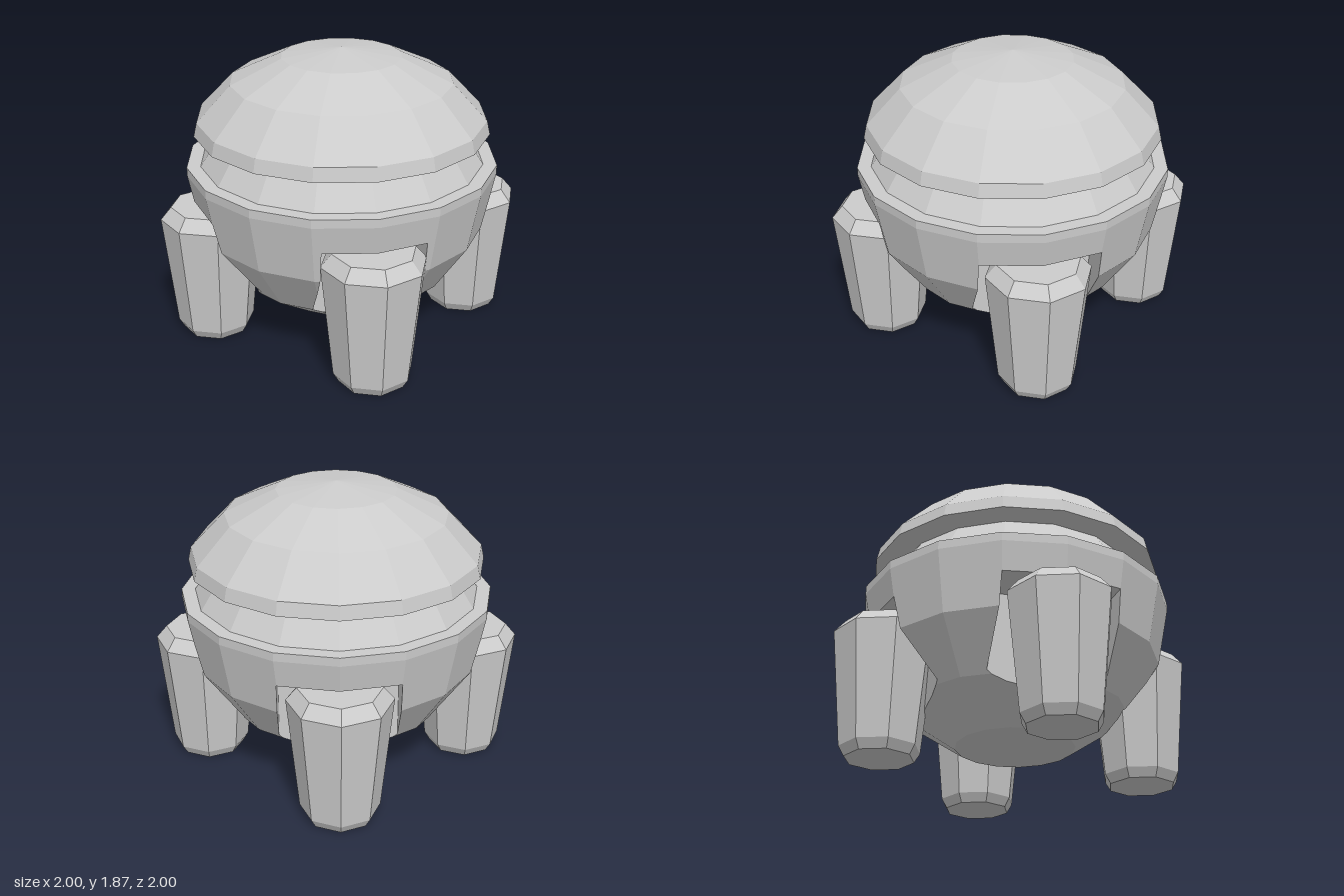
import * as THREE from 'three';

const SIDES = 16;
const material = new THREE.MeshStandardMaterial({ color: 0xcccccc, flatShading: true });
const v = (x, y, z) => new THREE.Vector3(x, y, z);

function lathe(name, profile, sides) {
  const points = profile.map(([r, y]) => new THREE.Vector2(r, y));
  const mesh = new THREE.Mesh(new THREE.LatheGeometry(points, sides), material);
  mesh.name = name;
  return mesh;
}

// Part of a convex polygon on the inner (sign 1) or outer (sign -1) side of a plane
function clip(poly, plane, sign = 1) {
  const out = [];
  poly.forEach((a, i) => {
    const b = poly[(i + 1) % poly.length];
    const da = plane.distanceToPoint(a) * sign;
    const db = plane.distanceToPoint(b) * sign;
    if (da <= 1e-7) out.push(a);
    if ((da < -1e-7 && db > 1e-7) || (da > 1e-7 && db < -1e-7)) {
      out.push(a.clone().lerp(b, da / (da - db)));
    }
  });
  return out.length > 2 ? out : null;
}

// Remove a convex region, given by its planes, from a list of polygons
function subtract(polys, planes) {
  const kept = [];
  for (const poly of polys) {
    let rest = poly;
    for (const plane of planes) {
      const outside = clip(rest, plane, -1);
      if (outside) kept.push(outside);
      rest = clip(rest, plane);
      if (!rest) break;
    }
  }
  return kept;
}

function toGeometry(polys) {
  const points = [];
  for (const p of polys) {
    for (let i = 1; i < p.length - 1; i++) points.push(p[0], p[i], p[i + 1]);
  }
  const geometry = new THREE.BufferGeometry().setFromPoints(points);
  geometry.computeVertexNormals();
  return geometry;
}

// Facets of the bowl-shaped lower hull
function hullFacets() {
  const profile = [[0, 0.09], [0.38, 0.165], [0.707, 0.383], [0.924, 0.707], [1, 1.09], [1, 1.145]];
  const at = ([r, y], i) => {
    const a = (i / SIDES) * Math.PI * 2;
    return v(r * Math.sin(a), y, r * Math.cos(a));
  };
  const facets = [];
  for (let j = 0; j < profile.length - 1; j++) {
    for (let i = 0; i < SIDES; i++) {
      const quad = [at(profile[j], i), at(profile[j], i + 1), at(profile[j + 1], i + 1), at(profile[j + 1], i)];
      facets.push(j === 0 ? quad.slice(1) : quad);
    }
  }
  return facets;
}

// Lower hull with a box-shaped niche cut out behind each leg
function buildHull(niches) {
  const facets = hullFacets();
  const hullPlanes = facets.map((f) => new THREE.Plane().setFromCoplanarPoints(f[0], f[1], f[2]));
  const top = 0.91, depth = 0.605, far = 1.2;
  let shell = facets;
  const walls = [];
  for (const { sx, sz, half } of niches) {
    const out = v(sx, 0, sz).normalize();
    const up = v(0, 1, 0);
    const side = up.clone().cross(out);
    shell = subtract(shell, [
      new THREE.Plane(up, -top),
      new THREE.Plane(out.clone().negate(), depth),
      new THREE.Plane(side, -half),
      new THREE.Plane(side.clone().negate(), -half),
    ]);
    const p = (s, y, d) => v(0, y, 0).addScaledVector(side, s).addScaledVector(out, d);
    const panels = [
      [p(-half, 0, depth), p(half, 0, depth), p(half, top, depth), p(-half, top, depth)],
      [p(-half, top, depth), p(half, top, depth), p(half, top, far), p(-half, top, far)],
      [p(-half, 0, far), p(-half, 0, depth), p(-half, top, depth), p(-half, top, far)],
      [p(half, 0, depth), p(half, 0, far), p(half, top, far), p(half, top, depth)],
    ];
    // Trim each niche wall to the inside of the hull
    for (const panel of panels) {
      const trimmed = hullPlanes.reduce((poly, plane) => poly && clip(poly, plane), panel);
      if (trimmed) walls.push(trimmed);
    }
  }
  const mesh = new THREE.Mesh(toGeometry([...shell, ...walls]), material);
  mesh.name = 'lowerHull';
  return mesh;
}

export function createModel() {
  const model = new THREE.Group();
  model.name = 'domedPod';

  // The front left niche is slightly narrower than the others
  const corners = [
    { name: 'frontLeft', sx: 1, sz: 1, half: 0.32 },
    { name: 'frontRight', sx: -1, sz: 1, half: 0.37 },
    { name: 'backLeft', sx: 1, sz: -1, half: 0.37 },
    { name: 'backRight', sx: -1, sz: -1, half: 0.37 },
  ];
  model.add(buildHull(corners));

  // Flat rim and sloping collar under the dome
  model.add(lathe('collar', [[1, 1.145], [0.912, 1.145], [0.776, 1.35]], SIDES));

  // Overhanging dome, closed underneath
  model.add(lathe('dome', [[0, 1.35], [0.945, 1.35], [0.925, 1.437], [0.707, 1.666], [0.382, 1.818], [0, 1.87]], SIDES));

  // Four tapered octagonal legs with chamfered ends
  const legProfile = [[0, 0], [0.215, 0], [0.25, 0.06], [0.325, 0.8], [0.257, 0.88], [0, 0.88]];
  for (const { name, sx, sz } of corners) {
    const leg = lathe(name + 'Leg', legProfile, 8);
    leg.position.set(sx * 0.61, 0, sz * 0.603);
    model.add(leg);
  }
  return model;
}
